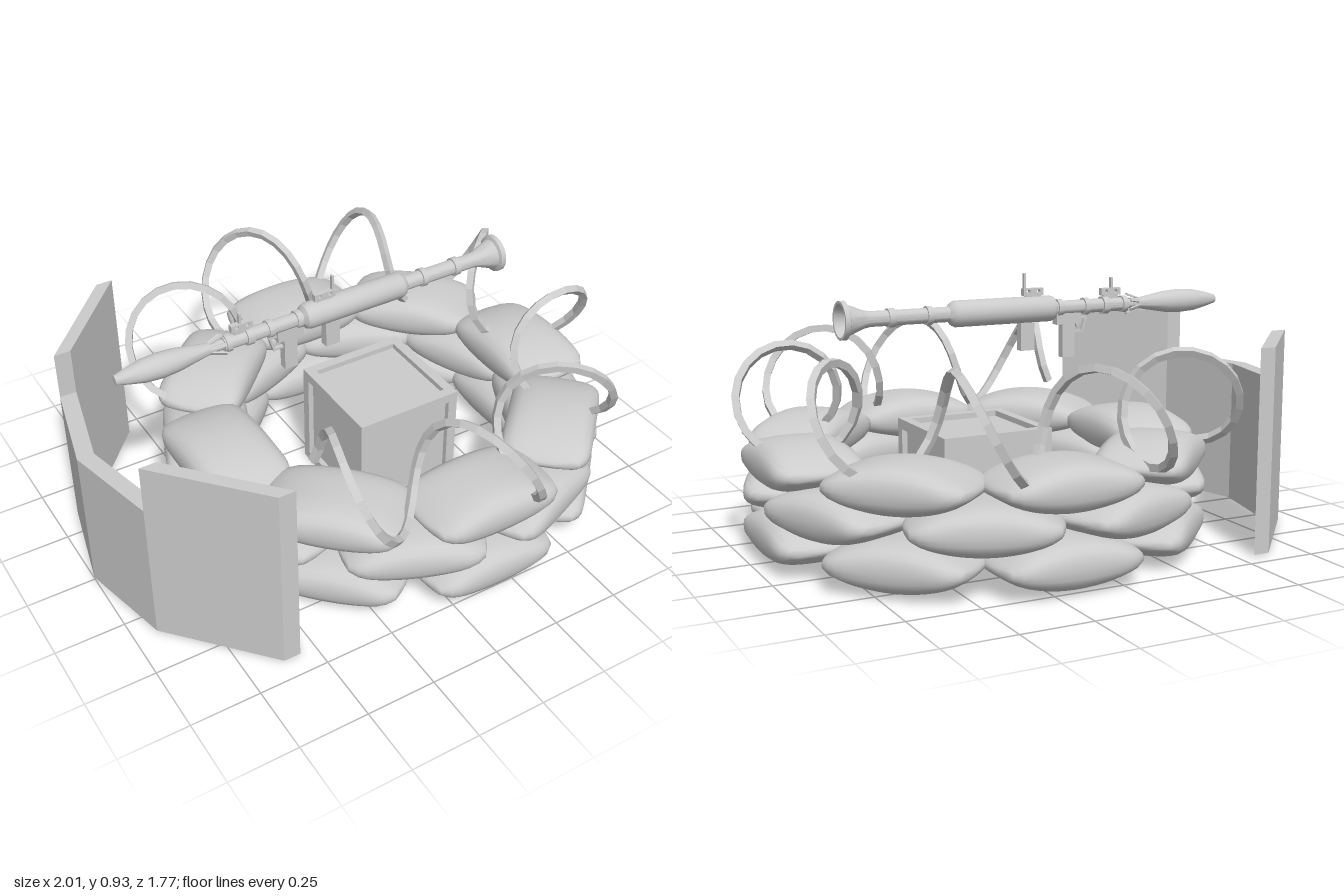
import * as THREE from 'three';
import { mergeVertices, toCreasedNormals } from 'three/addons/utils/BufferGeometryUtils.js';

const mat = new THREE.MeshStandardMaterial({ color: 0xcccccc });
const flat = new THREE.MeshStandardMaterial({ color: 0xcccccc, flatShading: true, side: THREE.DoubleSide });

function add(parent, name, geometry, x = 0, y = 0, z = 0, material = mat) {
  const mesh = new THREE.Mesh(geometry, material);
  mesh.name = name;
  mesh.position.set(x, y, z);
  parent.add(mesh);
  return mesh;
}

function box(parent, name, w, h, d, x, y, z) {
  return add(parent, name, new THREE.BoxGeometry(w, h, d), x, y, z);
}

// Pillow: squircle cross-section that thins towards both ends (length along z)
function bagGeometry() {
  let g = new THREE.BoxGeometry(2, 2, 2, 10, 6, 16);
  g.deleteAttribute('uv');
  g.deleteAttribute('normal');
  g = mergeVertices(g);
  const p = g.attributes.position;
  for (let i = 0; i < p.count; i++) {
    const u = p.getZ(i), v = p.getX(i), w = p.getY(i);
    const m = Math.max(Math.abs(v), Math.abs(w));
    const n = Math.pow(Math.abs(v) ** 3 + Math.abs(w) ** 3, 1 / 3) || 1;
    const thick = 0.3 + 0.7 * Math.pow(Math.max(0, 1 - u * u), 0.85);
    const deep = 1 - 0.2 * Math.pow(Math.abs(u), 8);
    const bulge = 1 - 0.09 * (m * m);
    p.setXYZ(i, 0.16 * deep * v * m / n, 0.085 * thick * w * m / n, 0.255 * u * bulge);
  }
  g.computeVertexNormals();
  return g;
}

// Three staggered rings of eight sandbags
function sandbagWall() {
  const wall = new THREE.Group();
  wall.name = 'sandbagWall';
  wall.position.set(0.175, 0, -0.01);
  const geo = bagGeometry();
  [0.093, 0.218, 0.34].forEach((y, layer) => {
    for (let i = 0; i < 8; i++) {
      const a = (i + (layer === 1 ? 0.5 : 0)) * Math.PI / 4;
      const bag = add(wall, 'sandbag', geo, 0.64 * Math.cos(a), y, 0.64 * Math.sin(a));
      bag.rotation.y = -a;
    }
  });
  return wall;
}

// Wire coil wound around the top of the wall, open on the shield side
class Coil extends THREE.Curve {
  getPoint(t, target = new THREE.Vector3()) {
    const turn = -0.23 + t * 7.78;
    const phase = turn * Math.PI * 2;
    const a = THREE.MathUtils.degToRad(219.6 + 37.3 * turn);
    const r = 0.71 + 0.175 * Math.cos(phase);
    return target.set(0.12 + r * Math.cos(a), 0.53 + 0.175 * Math.sin(phase), -0.01 + r * Math.sin(a));
  }
}

// Crate: recessed core with twelve edge bars
function crate() {
  const g = new THREE.Group();
  g.name = 'crate';
  g.position.set(0.175, 0.208, -0.005);
  const s = 0.41, b = 0.036, o = (s - b) / 2;
  box(g, 'cratePanels', s - 0.04, s - 0.04, s - 0.04, 0, 0, 0);
  for (const i of [-o, o]) {
    for (const j of [-o, o]) {
      box(g, 'crateBar', s, b, b, 0, i, j);
      box(g, 'crateBar', b, s, b, i, 0, j);
      box(g, 'crateBar', b, b, s, i, j, 0);
    }
  }
  return g;
}

// Folded shield: low middle plates, tall wings
function shield() {
  const g = new THREE.Group();
  g.name = 'shield';
  const line = [[-0.62, -0.685], [-0.92, -0.347], [-1, -0.005], [-0.92, 0.337], [-0.62, 0.675]];
  for (let i = 0; i < 4; i++) {
    const [x0, z0] = line[i], [x1, z1] = line[i + 1];
    const shape = new THREE.Shape([[x0, -z0], [x1, -z1], [x1 + 0.06, -z1], [x0 + 0.06, -z0]]
      .map(([x, y]) => new THREE.Vector2(x, y)));
    const wing = i === 0 || i === 3;
    const geo = new THREE.ExtrudeGeometry(shape, { depth: wing ? 0.712 : 0.537, bevelEnabled: false });
    geo.rotateX(-Math.PI / 2);
    add(g, wing ? 'shieldWing' : 'shieldMiddle', geo, 0, 0.008, 0);
  }
  return g;
}

// Shoulder launcher lying along x, head towards -x
function launcher() {
  const g = new THREE.Group();
  g.name = 'launcher';
  g.position.set(0, 0.805, -0.005);
  const turned = (name, pts) => {
    const geo = new THREE.LatheGeometry(pts.map(([x, r]) => new THREE.Vector2(r, x)), 20);
    add(g, name, toCreasedNormals(geo, 0.6)).rotation.z = -Math.PI / 2;
  };
  turned('warhead', [[-0.84, 0], [-0.84, 0.016], [-0.8, 0.027], [-0.74, 0.04], [-0.68, 0.044],
    [-0.62, 0.04], [-0.52, 0.023], [-0.48, 0.018], [-0.45, 0.018], [-0.45, 0]]);
  turned('tube', [[-0.45, 0], [-0.45, 0.025], [-0.15, 0.025], [-0.14, 0.042], [-0.125, 0.047],
    [0.245, 0.047], [0.26, 0.04], [0.27, 0.027], [0.56, 0.027], [0.585, 0.032], [0.645, 0.055],
    [0.65, 0.067], [0.668, 0.067], [0.668, 0.058], [0.61, 0.034], [0.59, 0.034], [0.59, 0]]);
  for (const [x, w, r] of [[-0.435, 0.02, 0.031], [-0.355, 0.025, 0.032], [-0.275, 0.02, 0.031],
    [-0.165, 0.02, 0.031], [0.345, 0.02, 0.033], [0.485, 0.025, 0.033]]) {
    turned('collar', [[x - w / 2, 0], [x - w / 2, r], [x + w / 2, r], [x + w / 2, 0]]);
  }
  // Swept fins behind the warhead
  for (let i = 0; i < 6; i++) {
    const fin = new THREE.Group();
    fin.name = 'fin';
    fin.rotation.x = i * Math.PI / 3;
    box(fin, 'finBlade', 0.06, 0.006, 0.012, -0.478, 0.026, 0).rotation.z = 0.35;
    g.add(fin);
  }
  // Grips and trigger guard
  box(g, 'trunnion', 0.1, 0.04, 0.034, -0.2, -0.04, 0);
  box(g, 'rearGrip', 0.05, 0.12, 0.032, -0.2, -0.12, 0);
  box(g, 'frontGrip', 0.055, 0.1, 0.032, -0.033, -0.095, 0);
  box(g, 'guardTop', 0.06, 0.008, 0.014, -0.25, -0.04, 0);
  box(g, 'guardBottom', 0.04, 0.008, 0.014, -0.24, -0.09, 0);
  box(g, 'guardFront', 0.008, 0.058, 0.014, -0.268, -0.066, 0).rotation.z = 0.3;
  box(g, 'trigger', 0.008, 0.03, 0.008, -0.24, -0.06, 0).rotation.z = -0.3;
  // Sights: drilled plate with a post
  for (const [x, y, postX, top] of [[-0.38, 0.036, -0.385, 0.1], [-0.06, 0.05, -0.027, 0.13]]) {
    const plate = new THREE.Shape();
    plate.moveTo(-0.04, 0).lineTo(0.04, 0).lineTo(0.04, 0.026).lineTo(-0.04, 0.026).closePath();
    for (const hx of [-0.02, 0.02]) {
      plate.holes.push(new THREE.Path().absarc(hx, 0.014, 0.007, 0, Math.PI * 2, true));
    }
    const geo = new THREE.ExtrudeGeometry(plate, { depth: 0.02, bevelEnabled: false, curveSegments: 6 });
    add(g, 'sightPlate', geo, x, y, -0.01);
    box(g, 'sightFoot', 0.06, 0.02, 0.016, x, y - 0.008, 0);
    box(g, 'sightPost', 0.008, top - y, 0.014, postX, (top + y) / 2, 0);
  }
  return g;
}

export function createModel() {
  const model = new THREE.Group();
  model.name = 'sandbagEmplacement';
  model.add(sandbagWall(), crate(), shield(), launcher());
  add(model, 'wireCoil', new THREE.TubeGeometry(new Coil(), 150, 0.018, 4, false), 0, 0, 0, flat);
  return model;
}
